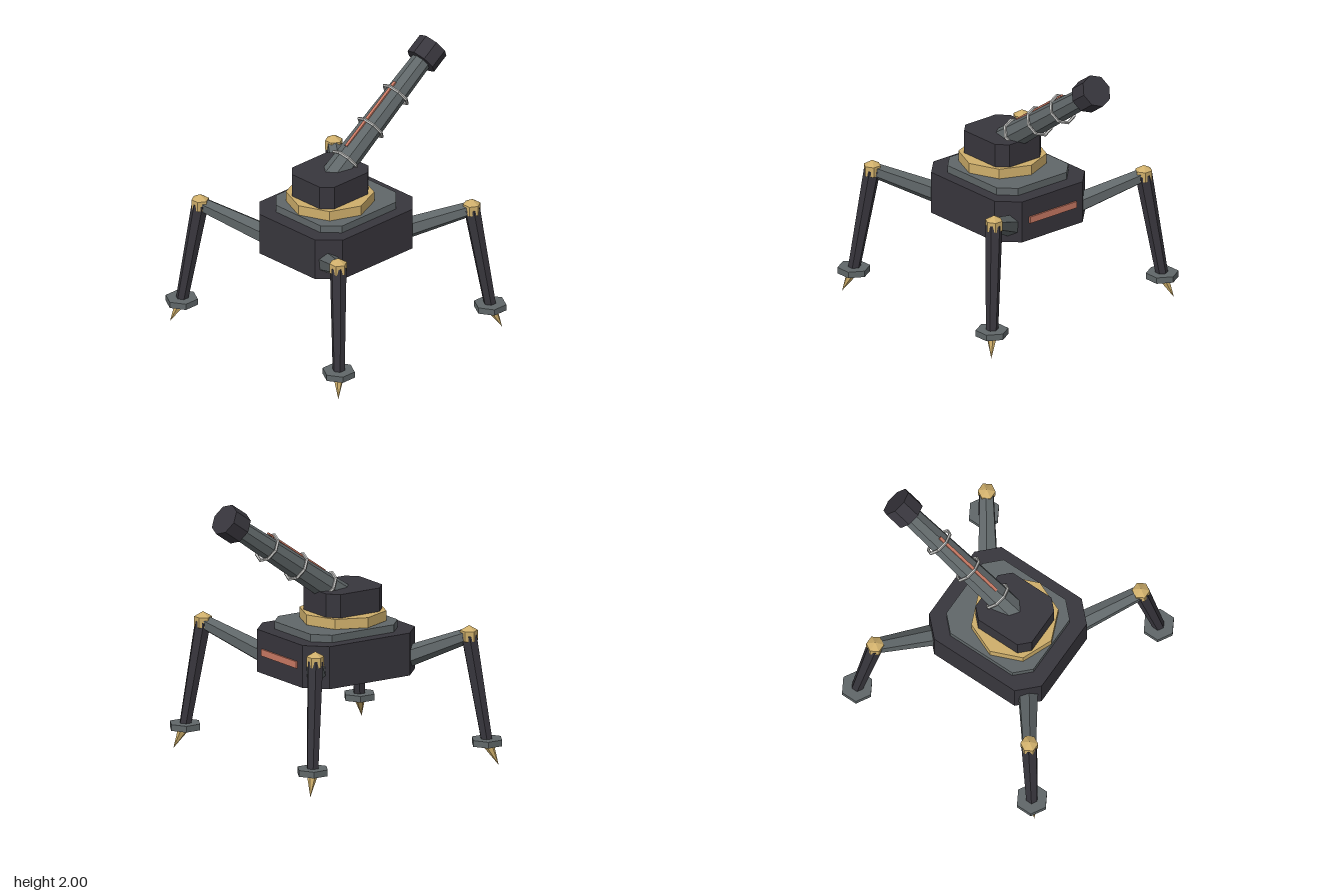
import * as THREE from 'three';

const mat = (name, color) => {
  const m = new THREE.MeshStandardMaterial({ color });
  m.name = name;
  m.flatShading = true;
  return m;
};

export function createModel() {
  const dark = mat('dark armour', 0x38363d);
  const grey = mat('grey steel', 0x606769);
  const gold = mat('brass', 0xcfaf6b);
  const silver = mat('silver', 0xbcbcba);
  const copper = mat('copper glow', 0xcb7a64);

  const model = new THREE.Group();
  model.name = 'walkerTurret';

  const add = (parent, name, geometry, material, x = 0, y = 0, z = 0) => {
    const mesh = new THREE.Mesh(geometry, material);
    mesh.name = name;
    mesh.position.set(x, y, z);
    parent.add(mesh);
    return mesh;
  };

  // Upright block with its four vertical corners cut off
  const chamferedBlock = (hx, hz, cut, height) => {
    const shape = new THREE.Shape([
      [hx - cut, -hz], [hx, cut - hz], [hx, hz - cut], [hx - cut, hz],
      [cut - hx, hz], [-hx, hz - cut], [-hx, cut - hz], [cut - hx, -hz],
    ].map(([x, y]) => new THREE.Vector2(x, y)));
    return new THREE.ExtrudeGeometry(shape, { depth: height, bevelEnabled: false }).rotateX(-Math.PI / 2);
  };

  // Tapered bar from point a to point b
  const strut = (parent, name, a, b, ra, rb, sides, material) => {
    const dir = b.clone().sub(a);
    const mid = a.clone().add(b).multiplyScalar(0.5);
    const mesh = add(parent, name, new THREE.CylinderGeometry(rb, ra, dir.length(), sides), material, mid.x, mid.y, mid.z);
    mesh.quaternion.setFromUnitVectors(new THREE.Vector3(0, 1, 0), dir.normalize());
    return mesh;
  };

  // Hull, deck, turning ring and turret
  const cz = 0.085;
  add(model, 'hull', chamferedBlock(0.427, 0.49, 0.14, 0.315), dark, 0, 0.642, cz);
  add(model, 'deck', chamferedBlock(0.34, 0.38, 0.11, 0.055), grey, 0, 0.957, cz);
  add(model, 'turningRing', new THREE.CylinderGeometry(0.318, 0.318, 0.075, 8), gold, 0, 1.053, 0.145);
  add(model, 'turret', chamferedBlock(0.218, 0.245, 0.075, 0.175), dark, 0, 1.09, 0.145);
  add(model, 'ringHub', new THREE.CylinderGeometry(0.24, 0.24, 0.02, 8), dark, 0, 1.013, 0.145);
  add(model, 'rearVent', new THREE.BoxGeometry(0.44, 0.05, 0.015), copper, 0, 0.8, -0.41);

  // Gun: local y runs along the barrel, local z is its upper side
  const gun = new THREE.Group();
  gun.name = 'gun';
  gun.position.set(0, 1.177, 0.145);
  gun.rotation.x = -THREE.MathUtils.degToRad(55);
  model.add(gun);
  add(gun, 'barrel', new THREE.CylinderGeometry(0.074, 0.098, 1.15, 8), grey, 0, 0.575, 0);
  add(gun, 'muzzle', new THREE.CylinderGeometry(0.121, 0.121, 0.152, 8), dark, 0, 1.19, 0);
  add(gun, 'barrelStrip', new THREE.BoxGeometry(0.022, 0.6, 0.012), copper, 0, 0.56, 0.09);
  for (const d of [0.19, 0.498, 0.806]) {
    const coil = add(gun, 'coil', new THREE.TorusGeometry(0.106, 0.012, 5, 8), silver, 0, d, 0);
    coil.rotation.x = Math.PI / 2;
  }

  // Four legs, one on each cut corner
  for (const sx of [1, -1]) {
    for (const sz of [1, -1]) {
      const leg = new THREE.Group();
      leg.name = (sz > 0 ? 'front' : 'back') + (sx > 0 ? 'Left' : 'Right') + 'Leg';
      model.add(leg);
      const p = (x, y, z) => new THREE.Vector3(sx * x, y, cz + sz * z);
      const knee = p(0.71, 0.955, 0.672);
      const foot = p(0.807, 0.173, 0.762);
      strut(leg, 'upperLeg', p(0.325, 0.755, 0.398), knee, 0.078, 0.055, 6, grey);
      strut(leg, 'lowerLeg', foot, knee, 0.045, 0.062, 6, dark);
      add(leg, 'knee', new THREE.SphereGeometry(0.074, 6, 3), gold, knee.x, knee.y, knee.z);
      add(leg, 'footPlate', new THREE.CylinderGeometry(0.12, 0.12, 0.046, 6), grey, foot.x, foot.y, foot.z);
      strut(leg, 'footSpike', foot, p(0.866, 0.002, 0.823), 0.046, 0, 6, gold);
    }
  }
  return model;
}
